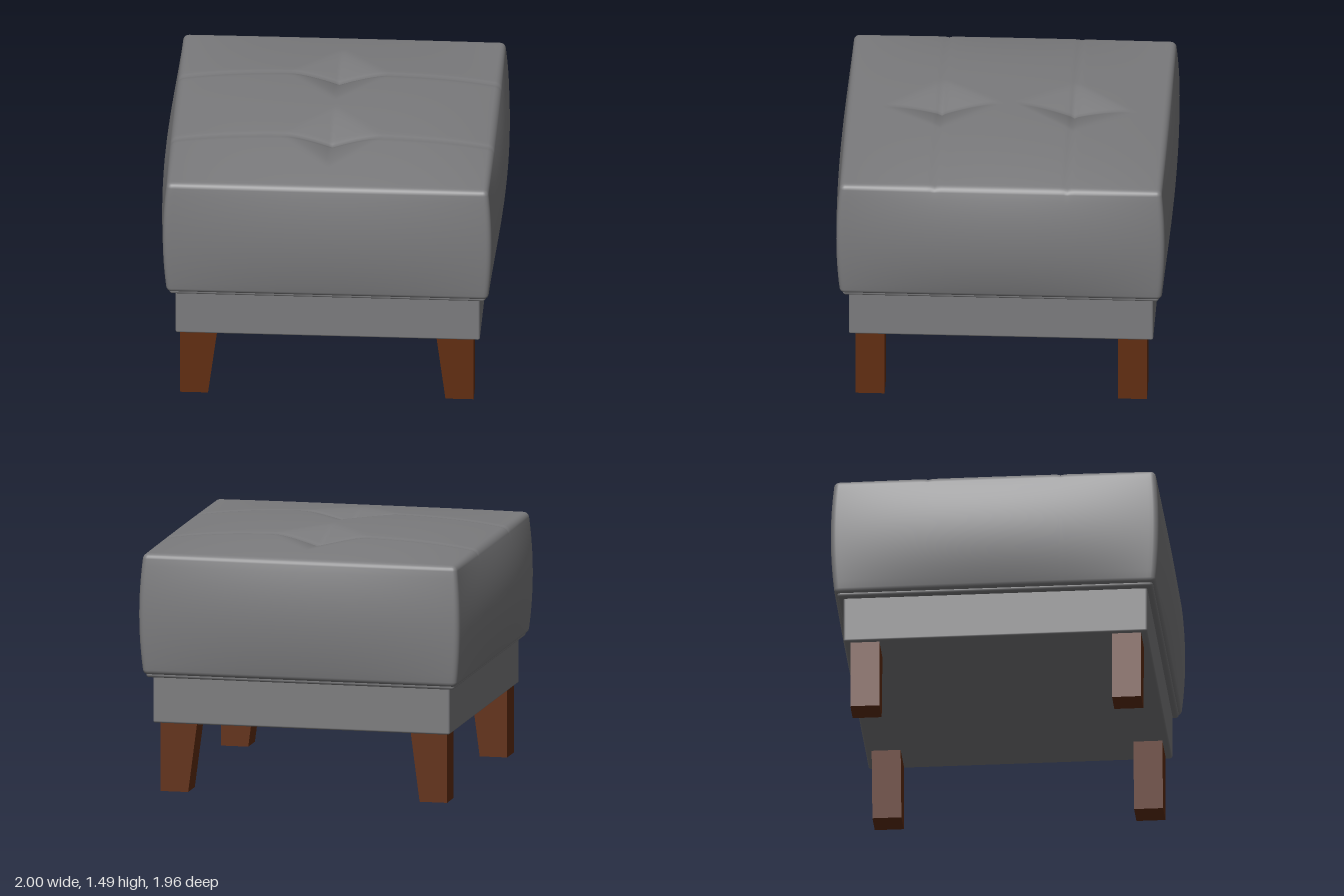
import * as THREE from 'three';
import { mergeVertices } from 'three/addons/utils/BufferGeometryUtils.js';
import { RoundedBoxGeometry } from 'three/addons/geometries/RoundedBoxGeometry.js';

const leather = new THREE.MeshStandardMaterial({ color: 0x7b7b7d });
leather.name = 'grey leather';
const wood = new THREE.MeshStandardMaterial({ color: 0x612d10 });
wood.name = 'brown wood';

const SEAMS = [-0.39, 0.385]; // z of the two stitched seams
const RIM = 0.03; // rounding of the cushion edges

// Grid line position: the outer three steps fall inside the rounded rim
function gridLine(t, half, n) {
  const k = Math.round(((t + 1) / 2) * n), flat = half - RIM, m = 3;
  if (k <= m) return -half + (RIM * k) / m;
  if (k >= n - m) return half - (RIM * (n - k)) / m;
  return -flat + (2 * flat * (k - m)) / (n - 2 * m);
}

// Bulging cushion with rounded edges, domed top, seams and two tufts
function cushionGeometry() {
  const n = 90, ny = 22;
  const half = new THREE.Vector3(0.94, 0.36, 0.94);
  const midY = 1.06;
  let geo = new THREE.BoxGeometry(2, 2, 2, n, ny, n);
  geo.deleteAttribute('uv');
  geo.deleteAttribute('normal');
  const pos = geo.attributes.position;
  const p = new THREE.Vector3(), core = new THREE.Vector3();
  const inner = half.clone().subScalar(RIM);
  const step = (2 * inner.z) / (n - 6);
  for (let i = 0; i < pos.count; i++) {
    p.set(gridLine(pos.getX(i), half.x, n), gridLine(pos.getY(i), half.y, ny), gridLine(pos.getZ(i), half.z, n));
    // keep a row of vertices exactly on each seam
    for (const s of SEAMS) if (Math.abs(p.z - s) <= step / 2) p.z = s;
    core.copy(p).clamp(inner.clone().negate(), inner);
    p.sub(core).normalize().multiplyScalar(RIM).add(core);

    const u = p.x / half.x, v = p.y / half.y, w = p.z / half.z;
    const onTop = THREE.MathUtils.smoothstep(v, 0.85, 1);
    let y = midY + p.y + onTop * 0.065 * (1 - Math.abs(u) ** 3) * (1 - w * w);
    for (const s of SEAMS) {
      const dz = p.z - s;
      y -= onTop * 0.006 * Math.exp(-((dz / 0.014) ** 2));
      const d = Math.abs(p.x) / 0.29 + Math.abs(dz) / 0.34;
      if (d < 1) y -= onTop * 0.075 * (1 - d) ** 1.4;
    }
    const belly = 1 - v * v;
    pos.setXYZ(i,
      p.x + u * belly * (0.02 + 0.04 * (1 - w * w)),
      y,
      p.z + w * belly * (0.02 + 0.022 * (1 - u * u)));
  }
  geo = mergeVertices(geo, 1e-5);
  geo.computeVertexNormals();
  return geo;
}

// Leg with a straight outer face and an inner face that tapers to the foot
function legGeometry() {
  const geo = new THREE.BoxGeometry(0.22, 0.42, 0.17);
  const pos = geo.attributes.position;
  for (let i = 0; i < pos.count; i++) {
    if (pos.getX(i) < 0 && pos.getY(i) < 0) pos.setX(i, -0.055);
  }
  geo.computeVertexNormals();
  return geo;
}

export function createModel() {
  const model = new THREE.Group();
  model.name = 'footstool';
  const add = (name, geo, mat, x, y, z) => {
    const mesh = new THREE.Mesh(geo, mat);
    mesh.name = name;
    mesh.position.set(x, y, z);
    model.add(mesh);
    return mesh;
  };

  add('cushion', cushionGeometry(), leather, 0, 0, 0);
  add('welt', new RoundedBoxGeometry(1.85, 0.04, 1.85, 3, 0.018), leather, 0, 0.703, 0);
  add('base', new RoundedBoxGeometry(1.78, 0.3, 1.78, 3, 0.012), leather, 0, 0.56, 0);

  const leg = legGeometry();
  for (const z of [-0.767, 0.767]) {
    add('leftLeg', leg, wood, 0.742, 0.21, z);
    // turned half round so the straight face stays outside
    add('rightLeg', leg, wood, -0.757, 0.21, z).rotation.y = Math.PI;
  }
  return model;
}
